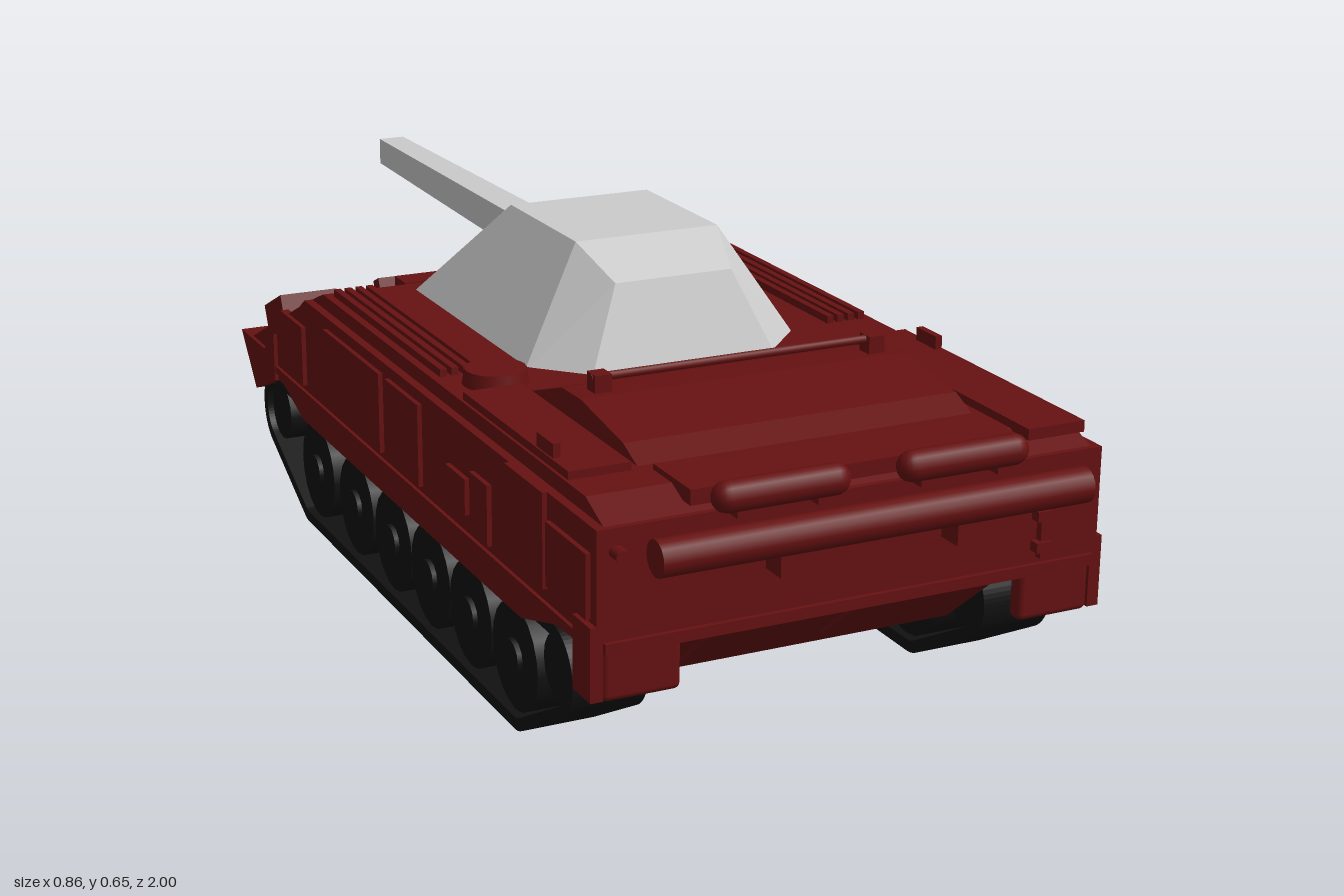
import * as THREE from 'three';
import { ConvexGeometry } from 'three/addons/geometries/ConvexGeometry.js';
import { RoundedBoxGeometry } from 'three/addons/geometries/RoundedBoxGeometry.js';

const red = new THREE.MeshStandardMaterial({ color: 0x661111 });
const black = new THREE.MeshStandardMaterial({ color: 0x111111 });
const grey = new THREE.MeshStandardMaterial({ color: 0xcccccc, flatShading: true });
const greyOpen = new THREE.MeshStandardMaterial({ color: 0xcccccc, flatShading: true, side: THREE.DoubleSide });

function add(parent, name, geometry, material, x = 0, y = 0, z = 0) {
  const mesh = new THREE.Mesh(geometry, material);
  mesh.name = name;
  mesh.position.set(x, y, z);
  parent.add(mesh);
  return mesh;
}

// Box given by its ranges along each axis
function box(parent, name, x0, x1, y0, y1, z0, z1, material = red) {
  return add(parent, name, new THREE.BoxGeometry(x1 - x0, y1 - y0, z1 - z0), material,
    (x0 + x1) / 2, (y0 + y1) / 2, (z0 + z1) / 2);
}

// Side outline of [z, y] points, extruded across x
function slab(points, width, hole) {
  const shape = new THREE.Shape(points.map(([z, y]) => new THREE.Vector2(z, y)));
  if (hole) shape.holes.push(new THREE.Path(hole.map(([z, y]) => new THREE.Vector2(z, y))));
  const geo = new THREE.ExtrudeGeometry(shape, { depth: width, bevelEnabled: false });
  geo.translate(0, 0, -width / 2);
  return geo.rotateY(-Math.PI / 2);
}

// Rod along x
function rod(parent, name, r, length, x, y, z, sides = 16) {
  return add(parent, name, new THREE.CylinderGeometry(r, r, length, sides).rotateZ(Math.PI / 2), red, x, y, z);
}

// Taut belt around circles [z, y, r]
function belt(circles, grow) {
  const points = [];
  for (let i = 0; i < 64; i++) {
    const a = (i / 64) * Math.PI * 2 + 0.01, c = Math.cos(a), s = Math.sin(a);
    const reach = (k) => k[0] * c + k[1] * s + k[2];
    const k = circles.reduce((best, q) => (reach(q) > reach(best) ? q : best));
    points.push([k[0] + (k[2] + grow) * c, k[1] + (k[2] + grow) * s]);
  }
  return points;
}

function buildHull(g) {
  add(g, 'lowerHull', slab([[0.9, 0.26], [0.72, 0.11], [-0.47, 0.11], [-0.65, 0.25]], 0.575), red);
  add(g, 'upperHull', slab([[0.92, 0.25], [0.92, 0.44], [-0.33, 0.44], [-0.36, 0.42], [-0.66, 0.28],
    [-0.66, 0.24], [-0.47, 0.24], [-0.36, 0.205], [0.65, 0.205], [0.78, 0.245]], 0.84), red);
  add(g, 'roof', slab([[0.91, 0.44], [0.85, 0.465], [-0.27, 0.465], [-0.33, 0.44]], 0.81), red);
  add(g, 'engineCover', slab([[0.78, 0.46], [0.72, 0.485], [0.57, 0.507], [0.5, 0.505], [0.37, 0.46]], 0.57), red);

  // Roof bar on two feet
  rod(g, 'roofBar', 0.007, 0.51, 0, 0.528, 0.54, 8);
  for (const s of [-1, 1]) box(g, 'barFoot', s * 0.24 - 0.014, s * 0.24 + 0.014, 0.49, 0.535, 0.525, 0.555);

  // Roof panels and round hatch
  box(g, 'roofPanel', -0.4, -0.3, 0.46, 0.478, 0.38, 0.78);
  box(g, 'roofPanel', 0.3, 0.4, 0.46, 0.478, 0.38, 0.9);
  box(g, 'rearRoofPanel', -0.27, 0.28, 0.45, 0.474, 0.79, 0.91);
  add(g, 'roundHatch', new THREE.CylinderGeometry(0.05, 0.055, 0.03, 20), red, -0.32, 0.475, 0.32);
  box(g, 'hatchLatch', 0.385, 0.397, 0.47, 0.5, 0.44, 0.5);
  box(g, 'hatchLatch', -0.397, -0.385, 0.47, 0.5, 0.66, 0.72);

  for (const s of [-1, 1]) {
    // Stowed bars beside the turret
    for (let i = 0; i < 4; i++) {
      const x = s * (0.325 + i * 0.02);
      box(g, 'roofRib', x - 0.006, x + 0.006, 0.46, 0.478, -0.25, 0.26);
    }
    // Side plates: z range, y range
    const plates = [[0.76, 0.9, 0.3, 0.4], [0.61, 0.75, 0.29, 0.44], [0.47, 0.54, 0.28, 0.38], [0.37, 0.45, 0.3, 0.36],
      [0.1, 0.25, 0.28, 0.42], [-0.21, 0.07, 0.28, 0.42], [-0.45, -0.33, 0.28, 0.39]];
    for (const [z0, z1, y0, y1] of plates) box(g, 'sidePlate', s * 0.42 - 0.008, s * 0.42 + 0.008, y0, y1, z0, z1);
    box(g, 'sideRail', s * 0.42 - 0.006, s * 0.42 + 0.006, 0.255, 0.268, -0.55, 0.9);

    // Front fender wedge and rear mud flap
    const fender = add(g, 'frontFender', slab([[-0.5, 0.24], [-0.5, 0.33], [-0.56, 0.285], [-0.7, 0.285], [-0.62, 0.19]], 0.13), red);
    fender.position.x = s * 0.362;
    add(g, 'rearFlap', new RoundedBoxGeometry(0.125, 0.085, 0.03, 2, 0.01), red, s * 0.348, 0.218, 0.905);
    box(g, 'rearCorner', s * 0.42 - 0.01, s * 0.42 + 0.01, 0.18, 0.295, 0.86, 0.92);
  }
}

function buildRear(g) {
  // Stowed log, fuel drums and their brackets
  rod(g, 'log', 0.028, 0.71, 0, 0.407, 0.972);
  for (const s of [-1, 1]) {
    const drum = add(g, 'fuelDrum', new THREE.CapsuleGeometry(0.024, 0.172, 6, 16).rotateZ(Math.PI / 2), red, s * 0.15, 0.474, 0.955);
    drum.scale.z = 0.9;
    for (const d of [-0.065, 0.065]) box(g, 'drumStrap', s * 0.15 + d - 0.007, s * 0.15 + d + 0.007, 0.44, 0.465, 0.9, 0.96);
    box(g, 'logBracket', s * 0.147 - 0.006, s * 0.147 + 0.006, 0.34, 0.39, 0.915, 0.965);
    // Doors on the sloped lower plate
    const door = add(g, 'lowerDoor', new RoundedBoxGeometry(0.18, 0.14, 0.016, 2, 0.007), red, s * 0.12, 0.187, 0.812);
    door.rotation.x = 0.87;
  }
  box(g, 'rearHatch', 0.31, 0.385, 0.28, 0.37, 0.915, 0.932);
  for (const y of [0.3, 0.35]) box(g, 'hatchHinge', 0.3, 0.325, y - 0.008, y + 0.008, 0.915, 0.938);
  box(g, 'rearSill', -0.41, 0.41, 0.252, 0.27, 0.915, 0.928);
  const light = add(g, 'rearLight', new THREE.CylinderGeometry(0.012, 0.012, 0.03, 10).rotateX(Math.PI / 2), red, -0.39, 0.405, 0.93);
  light.scale.y = 0.8;
}

function buildGlacis(g) {
  // Fittings laid on the sloped front plate
  const plate = new THREE.Group();
  plate.name = 'frontPlateFittings';
  plate.position.set(0, 0.35, -0.51);
  plate.rotation.x = -0.436;
  g.add(plate);
  for (const x of [-0.19, 0.015]) {
    const lid = new THREE.Shape([[-0.06, -0.08], [0.06, -0.08], [0.085, 0.03], [0.05, 0.08], [-0.05, 0.08], [-0.085, 0.03]]
      .map(([a, b]) => new THREE.Vector2(a, b)));
    const geo = new THREE.ExtrudeGeometry(lid, { depth: 0.022, bevelThickness: 0.008, bevelSize: 0.008, bevelSegments: 1 });
    add(plate, 'crewHatch', geo.rotateX(-Math.PI / 2), red, x, 0, -0.01);
    box(plate, 'hatchHandle', x - 0.04, x + 0.04, 0.02, 0.042, -0.015, 0.0);
    box(plate, 'periscope', x - 0.06, x + 0.06, 0, 0.04, 0.1, 0.13);
  }
  rod(plate, 'towBar', 0.014, 0.6, 0, 0.012, -0.15, 10);
  box(plate, 'headlampBox', -0.41, -0.3, 0, 0.045, -0.08, 0.03);
  box(plate, 'toolBox', 0.15, 0.26, 0, 0.03, -0.06, 0.09);
  add(plate, 'ventCap', new THREE.CylinderGeometry(0.05, 0.055, 0.03, 18), red, 0.35, 0.01, 0.0);

  // Upright cap near the corner
  add(g, 'smokeCapStem', new THREE.CylinderGeometry(0.05, 0.05, 0.09, 18), red, 0.35, 0.4, -0.43);
  add(g, 'smokeCap', new THREE.CylinderGeometry(0.058, 0.058, 0.05, 18), red, 0.35, 0.438, -0.43);
  for (const s of [-1, 1]) box(g, 'roofBlock', s * 0.2 - 0.05, s * 0.2 + 0.05, 0.44, 0.468, -0.32, -0.27);
}

function buildTrack(side) {
  const track = new THREE.Group();
  track.name = side > 0 ? 'leftTrack' : 'rightTrack';
  track.position.x = side * 0.351;
  const circles = [[0.745, 0.158, 0.055], [0.6, 0.06, 0.04], [-0.37, 0.06, 0.04], [-0.545, 0.163, 0.055]];
  add(track, 'belt', slab(belt(circles, 0.02), 0.122, belt(circles, 0)), black);
  for (const z of [0.58, 0.4, 0.225, 0.05, -0.135, -0.34]) {
    add(track, 'roadWheel', new THREE.CylinderGeometry(0.088, 0.088, 0.1, 20).rotateZ(Math.PI / 2), black, 0, 0.11, z);
    add(track, 'wheelHub', new THREE.CylinderGeometry(0.03, 0.035, 0.116, 12).rotateZ(Math.PI / 2), black, 0, 0.11, z);
  }
  for (const [z, y] of [[0.745, 0.158], [-0.545, 0.163]])
    add(track, 'endWheel', new THREE.CylinderGeometry(0.054, 0.054, 0.1, 16).rotateZ(Math.PI / 2), black, 0, y, z);
  return track;
}

function buildTurret() {
  const turret = new THREE.Group();
  turret.name = 'turret';
  // Half of the faceted shell, mirrored across x
  const half = [[0.25, 0.455, -0.24], [0.25, 0.455, 0.27], [0.168, 0.455, 0.355],
    [0.105, 0.6, 0.31], [0.13, 0.648, 0.21], [0.13, 0.648, -0.06]];
  const points = half.flatMap(([x, y, z]) => [new THREE.Vector3(x, y, z), new THREE.Vector3(-x, y, z)]);
  add(turret, 'shell', new ConvexGeometry(points), grey);

  // Frame around the gun, lying on the sloped face
  const outline = [[-0.12, -0.07], [0.12, -0.07], [0.075, 0.07], [-0.075, 0.07]];
  const path = (k) => outline.map(([x, y]) => new THREE.Vector2(x * k, y * k));
  const frameShape = new THREE.Shape(path(1));
  frameShape.holes.push(new THREE.Path(path(0.72)));
  const frame = add(turret, 'gunFrame', new THREE.ExtrudeGeometry(frameShape, { depth: 0.022, bevelEnabled: false }),
    grey, 0, 0.535, -0.164);
  frame.rotation.set(0, Math.PI, 0);
  frame.rotateX(-0.758);

  // Tapered square barrel, open at the muzzle
  const barrel = new THREE.CylinderGeometry(0.048, 0.036, 0.9, 4, 1, true).rotateY(Math.PI / 4).rotateX(Math.PI / 2);
  add(turret, 'barrel', barrel, greyOpen, 0, 0.535, -0.55);
  return turret;
}

export function createModel() {
  const model = new THREE.Group();
  model.name = 'tank';
  const hull = new THREE.Group();
  hull.name = 'hull';
  buildHull(hull);
  buildRear(hull);
  buildGlacis(hull);
  model.add(hull, buildTrack(1), buildTrack(-1), buildTurret());
  return model;
}
